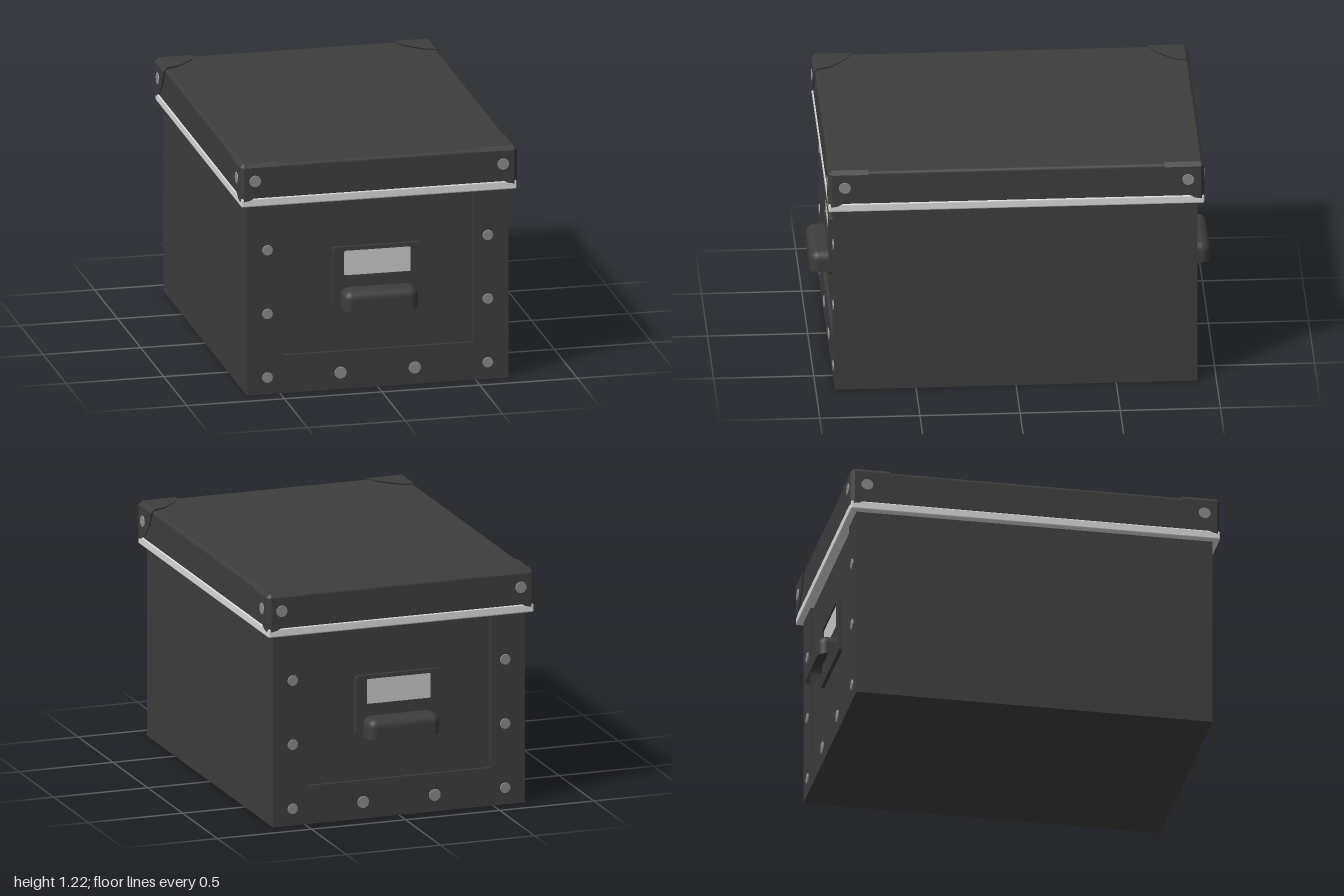
import * as THREE from 'three';
import { RoundedBoxGeometry } from 'three/addons/geometries/RoundedBoxGeometry.js';
import { ConvexGeometry } from 'three/addons/geometries/ConvexGeometry.js';

const mat = (name, color, side = THREE.FrontSide) => {
  const m = new THREE.MeshStandardMaterial({ color, side });
  m.name = name;
  return m;
};

export function createModel() {
  const card = mat('charcoal card', 0x3d3d3d, THREE.DoubleSide);
  const metal = mat('grey metal', 0x8a8a8a);
  const trim = mat('pale trim', 0xdadada);
  const paper = mat('label paper', 0xcacaca);

  const model = new THREE.Group();
  model.name = 'storageBox';

  const add = (parent, name, geo, material, x = 0, y = 0, z = 0) => {
    const m = new THREE.Mesh(geo, material);
    m.name = name;
    m.position.set(x, y, z);
    parent.add(m);
    return m;
  };
  const poly = (pts) => pts.map(([x, y]) => new THREE.Vector2(x, y));
  const plate = (shape, depth) =>
    new THREE.ExtrudeGeometry(shape, { depth, bevelEnabled: false, curveSegments: 6 });
  const rect = (Type, x0, y0, x1, y1, r) => {
    const s = new Type();
    s.moveTo(x0 + r, y0);
    s.lineTo(x1 - r, y0);
    s.quadraticCurveTo(x1, y0, x1, y0 + r);
    s.lineTo(x1, y1 - r);
    s.quadraticCurveTo(x1, y1, x1 - r, y1);
    s.lineTo(x0 + r, y1);
    s.quadraticCurveTo(x0, y1, x0, y1 - r);
    s.lineTo(x0, y0 + r);
    s.quadraticCurveTo(x0, y0, x0 + r, y0);
    return s;
  };
  // thin disc facing +z
  const rivetGeo = (r) => new THREE.CylinderGeometry(r * 0.92, r, 0.006, 18).rotateX(Math.PI / 2);

  // Body
  add(model, 'body', new THREE.BoxGeometry(1.34, 1.0, 1.78), card, 0, 0.5, 0);

  // Pull: a rounded cup, cut off flat and open underneath
  const cupGeo = () => {
    const src = new RoundedBoxGeometry(0.385, 0.24, 0.18, 4, 0.045);
    const geo = src.index ? src.toNonIndexed() : src;
    const p = geo.attributes.position, n = geo.attributes.normal;
    const cut = 0.015, pos = [], nor = [];
    for (let i = 0; i < p.count; i += 3) {
      if (Math.max(p.getY(i), p.getY(i + 1), p.getY(i + 2)) <= cut) continue;
      for (let j = i; j < i + 3; j++) {
        pos.push(p.getX(j), Math.max(p.getY(j), cut), p.getZ(j));
        nor.push(n.getX(j), n.getY(j), n.getZ(j));
      }
    }
    const out = new THREE.BufferGeometry();
    out.setAttribute('position', new THREE.Float32BufferAttribute(pos, 3));
    out.setAttribute('normal', new THREE.Float32BufferAttribute(nor, 3));
    return out;
  };

  // Each end: U-shaped frame, rivets, label holder and pull
  const makeEnd = (name) => {
    const end = new THREE.Group();
    end.name = name;
    const frame = new THREE.Shape(poly([
      [-0.67, 0], [0.67, 0], [0.67, 1], [0.487, 1],
      [0.487, 0.197], [-0.487, 0.197], [-0.487, 1], [-0.67, 1],
    ]));
    add(end, 'endFrame', plate(frame, 0.015), card, 0, 0, 0.89);

    const holder = rect(THREE.Shape, -0.23, 0.425, 0.228, 0.74, 0.02);
    holder.holes.push(rect(THREE.Path, -0.172, 0.59, 0.17, 0.72, 0.008));
    add(end, 'labelHolder', plate(holder, 0.02), card, 0, 0, 0.888);
    add(end, 'label', new THREE.BoxGeometry(0.36, 0.145, 0.008), paper, 0, 0.655, 0.896);
    add(end, 'pull', cupGeo(), card, 0, 0.41, 0.91);

    for (const s of [-1, 1]) {
      for (const y of [0.086, 0.418, 0.75])
        add(end, 'rivet', rivetGeo(0.028), metal, s * 0.564, y, 0.907);
      add(end, 'bottomRivet', rivetGeo(0.032), metal, s * 0.19, 0.085, 0.907);
    }
    model.add(end);
    return end;
  };
  makeEnd('frontEnd');
  makeEnd('backEnd').rotation.y = Math.PI;

  // Lid with a pale rim
  add(model, 'lidRim', new RoundedBoxGeometry(1.41, 0.045, 1.876, 2, 0.008), trim, 0, 1.0125, 0);
  add(model, 'lid', new RoundedBoxGeometry(1.4, 0.187, 1.868, 3, 0.018), card, 0, 1.1135, 0);

  // Lid corner guards: bevelled hulls with curved edges on three faces
  const X = 0.71, Y = 1.215, Z = 0.94, b = 0.02;
  const sideCurve = [[0.2, 1.195], [0.195, 1.17], [0.165, 1.115], [0.115, 1.062], [0.05, 1.026], [b, 1.02]];
  const topCurve = [[0.2, b], [0.175, 0.085], [0.132, 0.132], [0.085, 0.175], [b, 0.2], [b, b]];
  for (const sx of [-1, 1]) for (const sz of [-1, 1]) {
    const at = (dx, y, dz) => new THREE.Vector3(sx * (X - dx), y, sz * (Z - dz));
    const pts = [at(b, Y - b, 0), at(0, Y - b, b)];
    for (const [d, y] of sideCurve) pts.push(at(d, y, 0), at(0, y, d));
    for (const [dx, dz] of topCurve) pts.push(at(dx, Y, dz));
    add(model, 'lidCorner', new ConvexGeometry(pts), card);
    const endRivet = add(model, 'cornerRivet', rivetGeo(0.031), metal, sx * 0.635, 1.125, sz * (Z + 0.001));
    if (sz < 0) endRivet.rotation.y = Math.PI;
    const sideRivet = add(model, 'cornerRivet', rivetGeo(0.031), metal, sx * (X + 0.001), 1.125, sz * 0.857);
    sideRivet.rotation.y = sx * Math.PI / 2;
  }
  return model;
}
